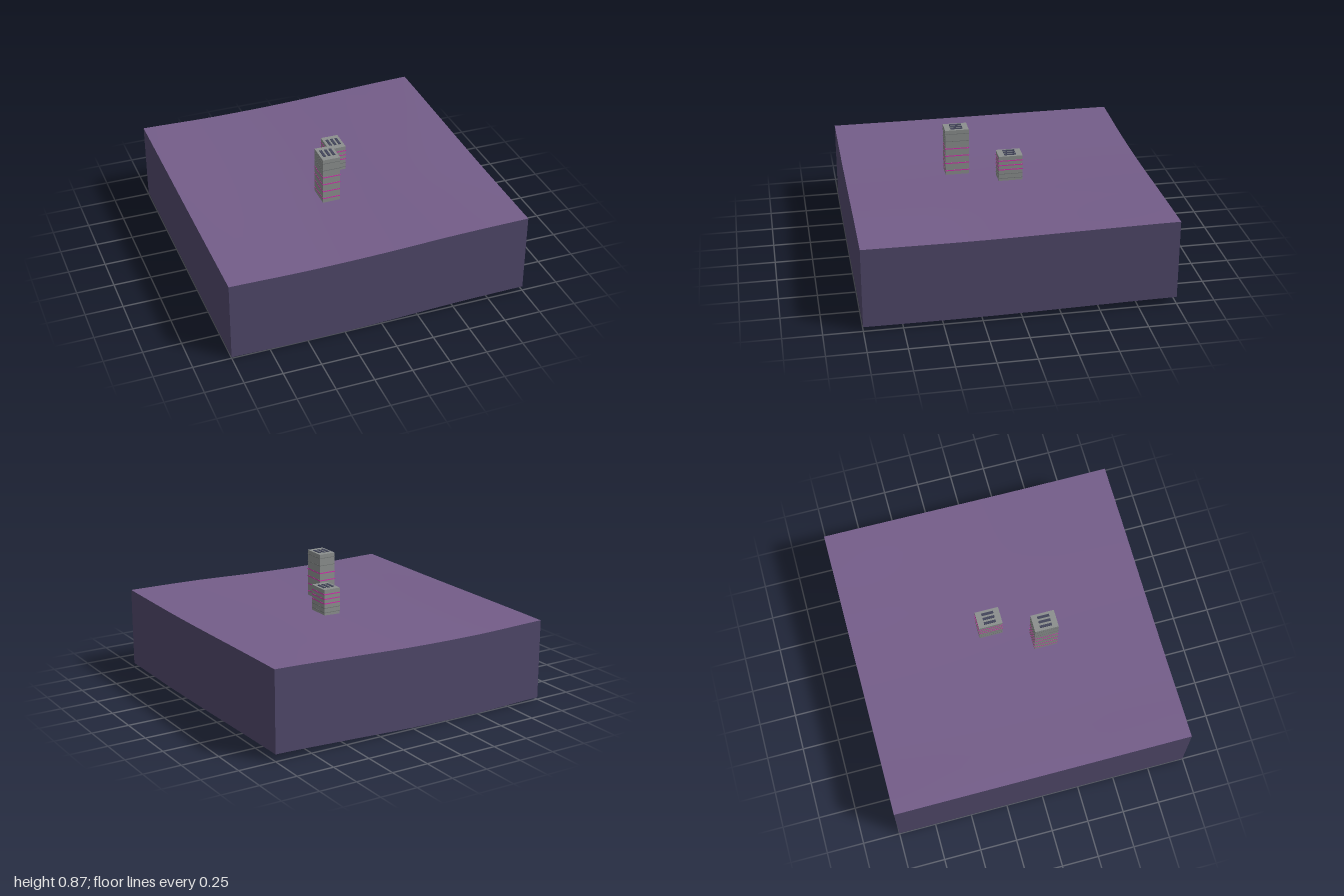
import * as THREE from 'three';

const mat = (name, color, side = THREE.FrontSide) => {
  const m = new THREE.MeshStandardMaterial({ color, side });
  m.name = name;
  return m;
};

// Ground height along the front and back edges, blended across z
const edge = (pts) => new THREE.SplineCurve(pts.map((y, i) => new THREE.Vector2(-1 + i * 0.5, y)));
const frontEdge = edge([0.544, 0.537, 0.544, 0.561, 0.567]);
const backEdge = edge([0.55, 0.54, 0.546, 0.566, 0.584]);
const DROP = 0.536;

function groundHeight(x, z) {
  const u = THREE.MathUtils.clamp((x + 1) / 2, 0, 1);
  const t = THREE.MathUtils.smoothstep(-z, -0.5, 1);
  const dip = 0.003 * (1 - z * z) * u;
  return THREE.MathUtils.lerp(frontEdge.getPoint(u).y, backEdge.getPoint(u).y, t) - dip;
}

// Gently rolling top sheet
function groundGeometry(n = 32) {
  const g = new THREE.PlaneGeometry(2, 2, n, n).rotateX(-Math.PI / 2);
  const p = g.attributes.position;
  for (let i = 0; i < p.count; i++) p.setY(i, groundHeight(p.getX(i), p.getZ(i)));
  g.computeVertexNormals();
  return g;
}

// One wall hanging from the ground edge; the underside stays open
function skirtGeometry(angle, n = 32) {
  const g = new THREE.PlaneGeometry(2, 1, n, 1).translate(0, 0, 1).rotateY(angle);
  const p = g.attributes.position;
  for (let i = 0; i < p.count; i++) {
    const top = groundHeight(p.getX(i), p.getZ(i));
    p.setY(i, p.getY(i) > 0 ? top : top - DROP);
  }
  g.computeVertexNormals();
  return g;
}

export function createModel() {
  const root = new THREE.Group();
  root.name = 'terrainTileWithTowers';

  const ground = mat('purpleGround', 0x745d89, THREE.DoubleSide);
  const skirt = mat('darkPurpleSkirt', 0x4f4769, THREE.DoubleSide);
  const wall = mat('greyWall', 0x8b8f8e);
  const trim = mat('darkGreyTrim', 0x727676);
  const glow = mat('pinkWindowLight', 0xd033ac);
  const vent = mat('darkRoofVent', 0x42455a);

  const add = (parent, name, geometry, material, x = 0, y = 0, z = 0) => {
    const m = new THREE.Mesh(geometry, material);
    m.name = name;
    m.position.set(x, y, z);
    parent.add(m);
  };

  add(root, 'ground', groundGeometry(), ground);
  ['frontSkirt', 'leftSkirt', 'backSkirt', 'rightSkirt'].forEach((name, i) =>
    add(root, name, skirtGeometry((i * Math.PI) / 2), skirt));

  // Tower block with floor bands and three roof vents
  function tower(name, x, z, w, d, top, lit, dim) {
    const g = new THREE.Group();
    g.name = name;
    g.position.set(x, 0, z);
    const base = 0.53;
    add(g, 'towerBody', new THREE.BoxGeometry(w, top - base, d), wall, 0, (top + base) / 2, 0);
    for (const y of lit) {
      add(g, 'litWindowBand', new THREE.BoxGeometry(w + 0.002, 0.007, d + 0.002), glow, 0, y, 0);
    }
    for (const y of dim) {
      add(g, 'unlitWindowBand', new THREE.BoxGeometry(w + 0.002, 0.004, d + 0.002), trim, 0, y, 0);
    }
    for (const i of [-1, 0, 1]) {
      add(g, 'roofVent', new THREE.BoxGeometry(0.017, 0.006, 0.08), vent, i * 0.032, top + 0.001, 0);
    }
    root.add(g);
  }
  tower('tallTower', -0.087, 0.25, 0.118, 0.158, 0.862, [0.572, 0.625, 0.678, 0.73], [0.783, 0.835]);
  tower('shortTower', 0.081, -0.082, 0.118, 0.16, 0.722, [0.627, 0.658, 0.69], [0.565, 0.596]);

  return root;
}
